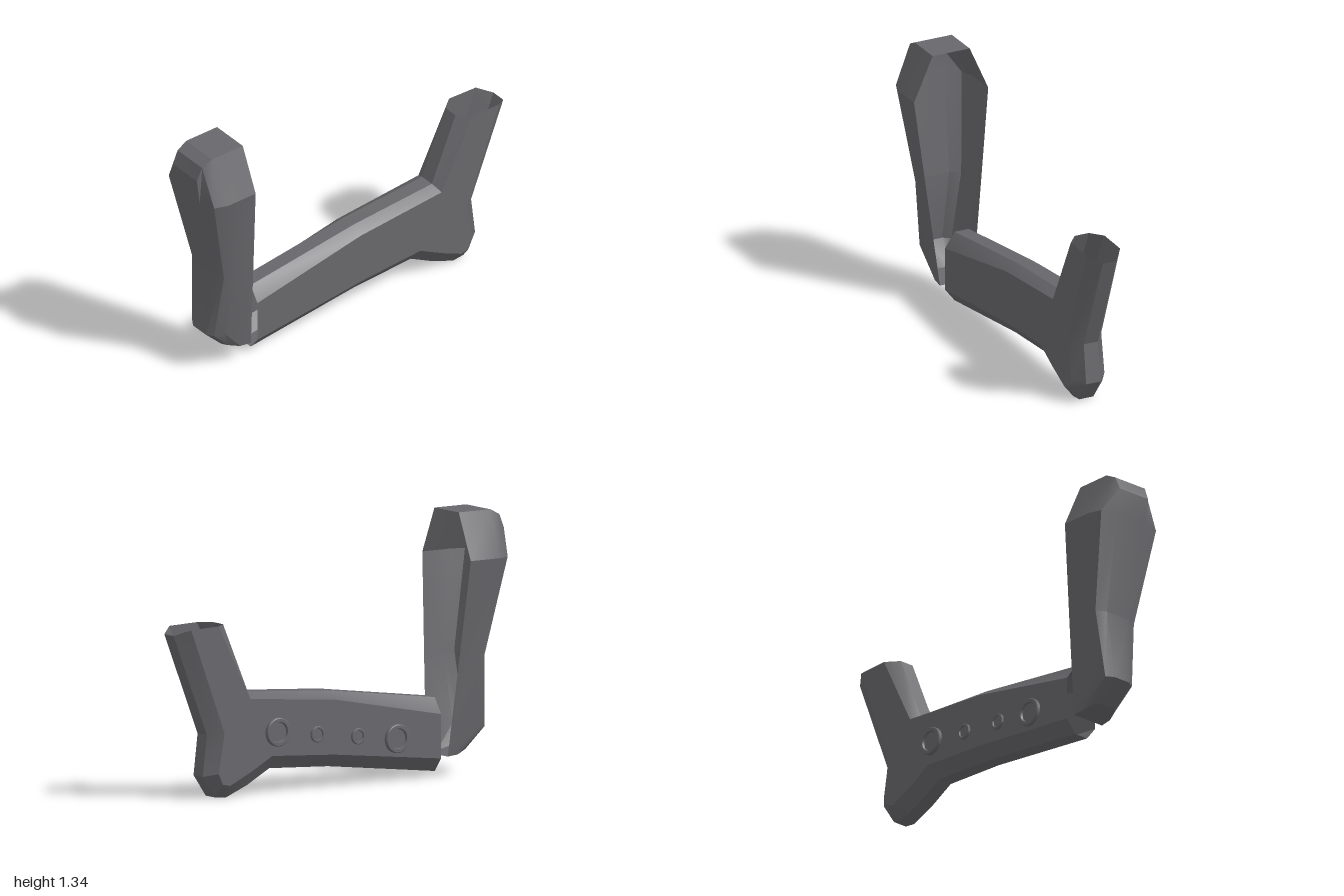
import * as THREE from 'three';
import { toCreasedNormals } from 'three/addons/utils/BufferGeometryUtils.js';

const gray = new THREE.MeshStandardMaterial({ color: 0x68676b, side: THREE.DoubleSide });
gray.name = 'dark gray';

// Skin a list of half sections (points [x, y, z] on the +z side), each mirrored across z
function skin(stations, { closed = false, caps = false } = {}) {
  const pos = [];
  const rows = stations.map((half) => [
    ...half,
    ...half.slice().reverse().map(([x, y, z]) => [x, y, -z]),
  ]);
  const same = (p, q) => p.every((v, k) => Math.abs(v - q[k]) < 1e-6);
  const tri = (p, q, r) => {
    if (!same(p, q) && !same(q, r) && !same(p, r)) pos.push(...p, ...q, ...r);
  };
  const quad = (a, b, c, d) => { tri(a, b, c); tri(a, c, d); };
  const n = rows[0].length;
  for (let i = 0; i + 1 < rows.length; i++) {
    for (let j = 0; j < (closed ? n : n - 1); j++) {
      const k = (j + 1) % n;
      quad(rows[i][j], rows[i][k], rows[i + 1][k], rows[i + 1][j]);
    }
  }
  if (caps) {
    const top = rows[0], low = rows[rows.length - 1];
    for (let j = 0; j < n / 2 - 1; j++) {
      quad(top[j], top[n - 1 - j], top[n - 2 - j], top[j + 1]);
      quad(low[j], low[j + 1], low[n - 2 - j], low[n - 1 - j]);
    }
  }
  const g = new THREE.BufferGeometry();
  g.setAttribute('position', new THREE.Float32BufferAttribute(pos, 3));
  return toCreasedNormals(g, 0.45);
}

function add(group, name, geometry) {
  const mesh = new THREE.Mesh(geometry, gray);
  mesh.name = name;
  group.add(mesh);
  return mesh;
}

export function createModel() {
  const group = new THREE.Group();
  group.name = 'frame';

  // Upright shell, open toward +x: rim, side, shoulder and back of each level
  add(group, 'uprightShell', skin([
    [[-0.715, 1.34, 0.105], [-0.91, 1.34, 0.105], [-0.97, 1.31, 0.1], [-1, 1.24, 0.095]],
    [[-0.715, 1.105, 0.21], [-0.893, 1.105, 0.21], [-0.96, 1.105, 0.185], [-0.985, 1.1, 0.1]],
    [[-0.685, 0.605, 0.153], [-0.8, 0.605, 0.15], [-0.855, 0.605, 0.13], [-0.88, 0.605, 0.075]],
    [[-0.663, 0.24, 0.11], [-0.83, 0.24, 0.108], [-0.885, 0.24, 0.09], [-0.91, 0.24, 0.05]],
    [[-0.655, 0.105, 0.095], [-0.72, 0.11, 0.09], [-0.78, 0.13, 0.07], [-0.8, 0.13, 0.04]],
  ], { caps: true }));

  // Bevelled tube: long bar, rounded foot and rising grip, open at both ends.
  // Each station is top, upper shoulder, lower shoulder, bottom (x, y pairs).
  const inner = [0.04, 0.095, 0.095, 0.04];
  const body = add(group, 'barAndGrip', skin([
    [-0.61, 0.405, -0.61, 0.325, -0.61, 0.1, -0.61, 0.03],
    [0.05, 0.495, 0.05, 0.455, 0.05, 0.175, 0.05, 0.11],
    [0.545, 0.53, 0.565, 0.5, 0.43, 0.2, 0.41, 0.13],
    [0.545, 0.53, 0.565, 0.5, 0.56, 0.13, 0.55, 0.055],
    [0.545, 0.53, 0.565, 0.5, 0.69, 0.07, 0.68, 0.003],
    [0.545, 0.53, 0.565, 0.5, 0.735, 0.08, 0.745, 0.01],
    [0.545, 0.53, 0.565, 0.5, 0.76, 0.135, 0.82, 0.12],
    [0.545, 0.53, 0.565, 0.5, 0.725, 0.34, 0.795, 0.33],
    [0.695, 0.885, 0.76, 0.885, 0.93, 0.88, 1, 0.85],
  ].map((s) => inner.map((z, k) => [s[2 * k], s[2 * k + 1], z])), { closed: true }));
  body.position.z = -0.005;

  // Round ringed bosses along the back of the bar
  const bosses = [[-0.335, 0.225, 0.073, 0.02], [-0.095, 0.257, 0.041, 0.014],
    [0.155, 0.288, 0.041, 0.014], [0.4, 0.32, 0.073, 0.02]];
  bosses.forEach(([x, y, r, h], i) => {
    const profile = [[r, 0], [r, h * 0.8], [r * 0.94, h], [r * 0.72, h], [r * 0.66, h * 0.4], [0, h * 0.4]]
      .map(([px, py]) => new THREE.Vector2(px, py));
    const g = toCreasedNormals(new THREE.LatheGeometry(profile, 28), 0.45);
    const boss = add(group, `backBoss${i + 1}`, g);
    boss.rotation.x = -Math.PI / 2;
    boss.position.set(x, y, -0.1);
  });

  return group;
}
